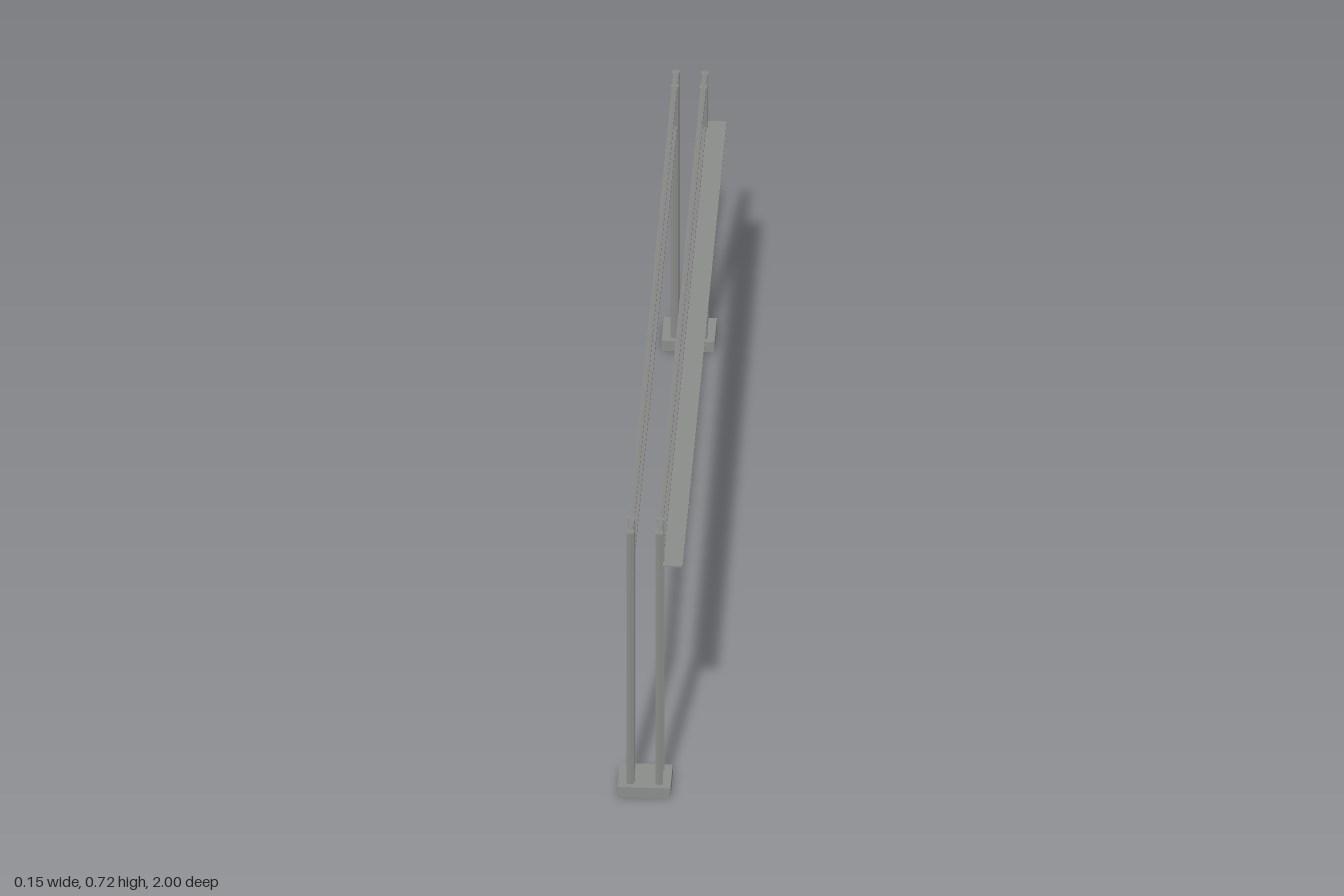
import * as THREE from 'three';

export function createModel() {
  const model = new THREE.Group();
  model.name = 'gantry';
  const steel = new THREE.MeshStandardMaterial({ color: 0x8a8c8a });
  steel.name = 'grey steel';
  steel.flatShading = true;
  const black = new THREE.MeshStandardMaterial({ color: 0x2d2d2d });
  black.name = 'black panel';

  const add = (name, geometry, material, x, y, z) => {
    const mesh = new THREE.Mesh(geometry, material);
    mesh.name = name;
    mesh.position.set(x, y, z);
    model.add(mesh);
    return mesh;
  };

  const columns = [-0.046, 0.021];
  const postTop = 0.72, footTop = 0.028;
  const postGeo = new THREE.CylinderGeometry(0.0102, 0.0102, postTop - footTop, 6);
  const footGeo = new THREE.BoxGeometry(0.123, footTop, 0.102);

  // A footing with four posts at each end
  for (const side of [1, -1]) {
    add('footing', footGeo, steel, -0.0135, footTop / 2, side * 0.949);
    for (const x of columns)
      for (const z of [0.978, 0.919])
        add('post', postGeo, steel, x, (postTop + footTop) / 2, side * z);
  }

  // Upper and lower rails along both rows of posts
  const railGeo = new THREE.CylinderGeometry(0.0072, 0.0072, 1.97, 6);
  railGeo.rotateX(Math.PI / 2);
  for (const x of columns) {
    add('upperRail', railGeo, steel, x, 0.714, 0);
    add('lowerRail', railGeo, steel, x, 0.608, 0);
  }

  // Walkway shelf on the left side
  add('walkway', new THREE.BoxGeometry(0.048, 0.004, 1.892), steel, 0.049, 0.603, -0.005);

  // Three hanging sign panels
  const signGeo = new THREE.BoxGeometry(0.011, 0.112, 0.109);
  for (const z of [0.347, 0, -0.347]) add('signPanel', signGeo, black, 0.0345, 0.545, z);

  return model;
}
